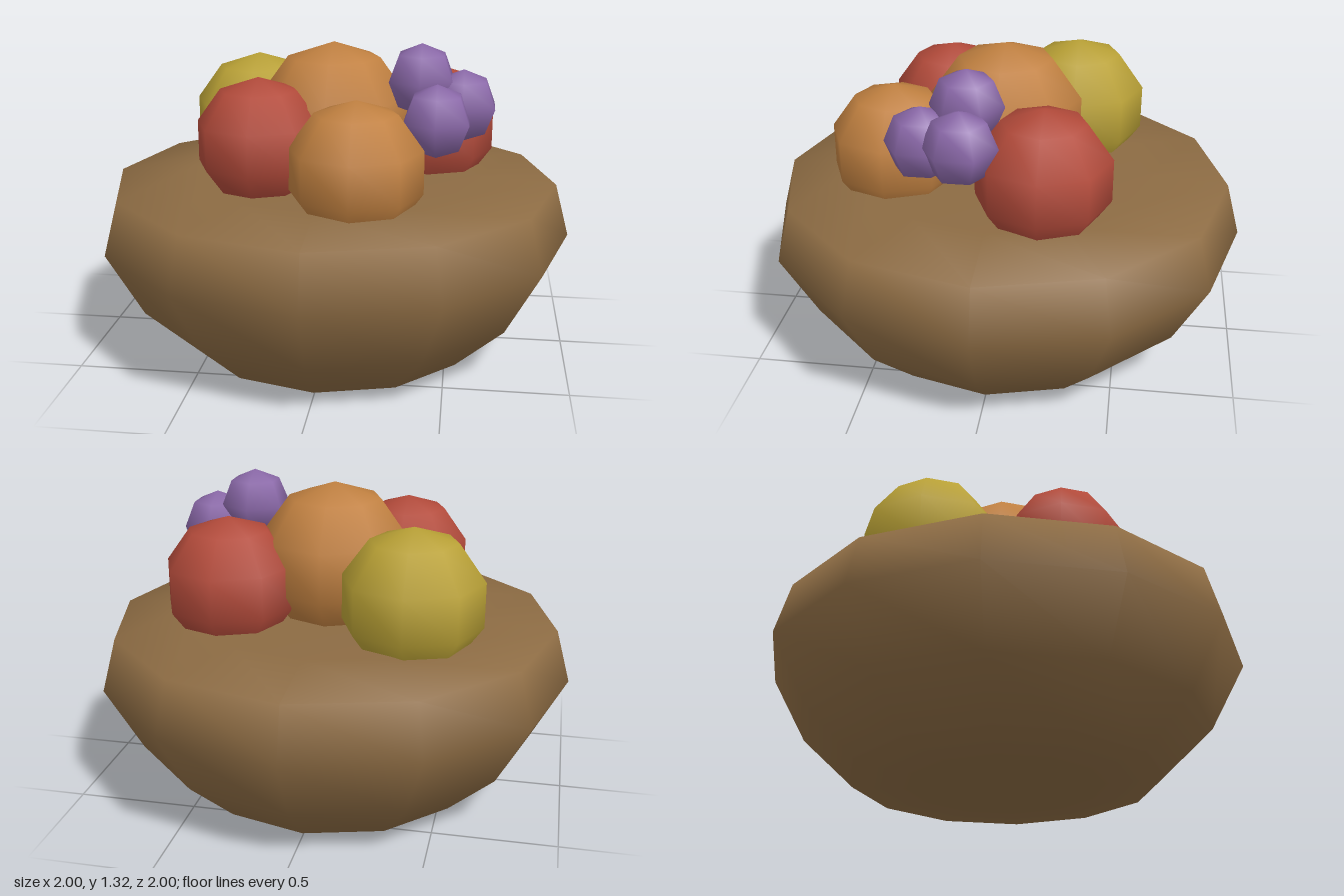
import * as THREE from 'three';

const mat = (color) => new THREE.MeshStandardMaterial({ color });

export function createModel() {
  const model = new THREE.Group();
  model.name = 'fruitBowl';

  // Filled twelve-sided bowl, from the base centre round to the top centre
  const profile = [
    [0, 0], [0.4, 0], [0.63, 0.012], [0.85, 0.22], [1, 0.495],
    [0.94, 0.715], [0.6, 0.745], [0, 0.745],
  ].map(([r, y]) => new THREE.Vector2(r, y));
  const bowl = new THREE.Mesh(new THREE.LatheGeometry(profile, 12), mat(0x8c6b43));
  bowl.name = 'bowl';
  model.add(bowl);

  const red = mat(0xb24a3a);
  const orange = mat(0xc08040);
  const yellow = mat(0xb8a035);
  const purple = mat(0x8a68a8);

  // Low-poly round fruit
  const addFruit = (parent, name, material, r, [x, y, z], sides = 8, rings = 5) => {
    const fruit = new THREE.Mesh(new THREE.SphereGeometry(r, sides, rings), material);
    fruit.name = name;
    fruit.position.set(x, y, z);
    parent.add(fruit);
    return fruit;
  };

  addFruit(model, 'orangeCentre', orange, 0.33, [0, 0.97, 0]);
  addFruit(model, 'orangeFront', orange, 0.277, [0.14, 0.873, 0.44]);
  addFruit(model, 'appleFront', red, 0.265, [-0.27, 0.93, 0.267]);
  addFruit(model, 'appleBack', red, 0.283, [0.4, 0.9, -0.2]);
  addFruit(model, 'yellowApple', yellow, 0.3, [-0.37, 0.9, -0.275]);

  // Cluster of three grapes
  const grapes = new THREE.Group();
  grapes.name = 'grapes';
  for (const p of [[0.37, 1.168, 0.1], [0.54, 1.066, 0.1], [0.44, 1.035, 0.267]]) {
    addFruit(grapes, 'grape', purple, 0.148, p, 6, 4).rotation.y = Math.PI / 6;
  }
  model.add(grapes);

  return model;
}
